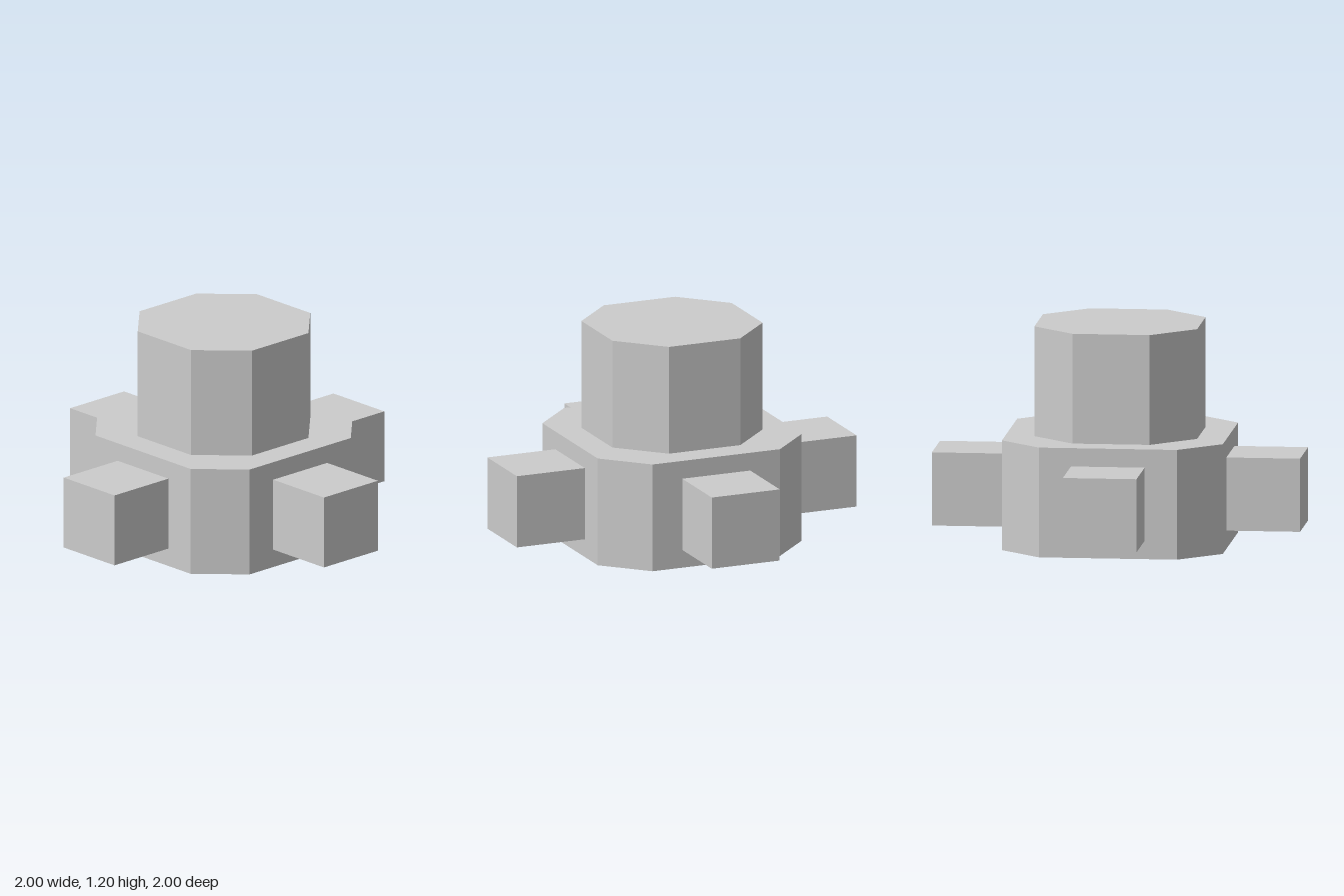
import * as THREE from 'three';

const material = new THREE.MeshStandardMaterial({ color: 0xcccccc, flatShading: true });

// Square prism with chamfered corners: half = half width, flat = half length of each main side
function octagonPrism(name, half, flat, bottom, height) {
  const shape = new THREE.Shape([
    [half, -flat], [half, flat], [flat, half], [-flat, half],
    [-half, flat], [-half, -flat], [-flat, -half], [flat, -half],
  ].map(([x, y]) => new THREE.Vector2(x, y)));
  const geometry = new THREE.ExtrudeGeometry(shape, { depth: height, bevelEnabled: false });
  geometry.rotateX(-Math.PI / 2);
  const mesh = new THREE.Mesh(geometry, material);
  mesh.name = name;
  mesh.position.y = bottom;
  return mesh;
}

export function createModel() {
  const model = new THREE.Group();
  model.name = 'octagonalHub';

  // Wide base with a narrower column on top
  model.add(octagonPrism('base', 0.6, 0.375, 0, 0.6));
  model.add(octagonPrism('column', 0.442, 0.21, 0.6, 0.6));

  // One cube on each main side of the base
  const cube = new THREE.BoxGeometry(0.4, 0.4, 0.4);
  const sides = [['front', 0, 1], ['left', 1, 0], ['back', 0, -1], ['right', -1, 0]];
  for (const [side, x, z] of sides) {
    const block = new THREE.Mesh(cube, material);
    block.name = `${side}Block`;
    block.position.set(x * 0.8, 0.3, z * 0.8);
    model.add(block);
  }
  return model;
}
